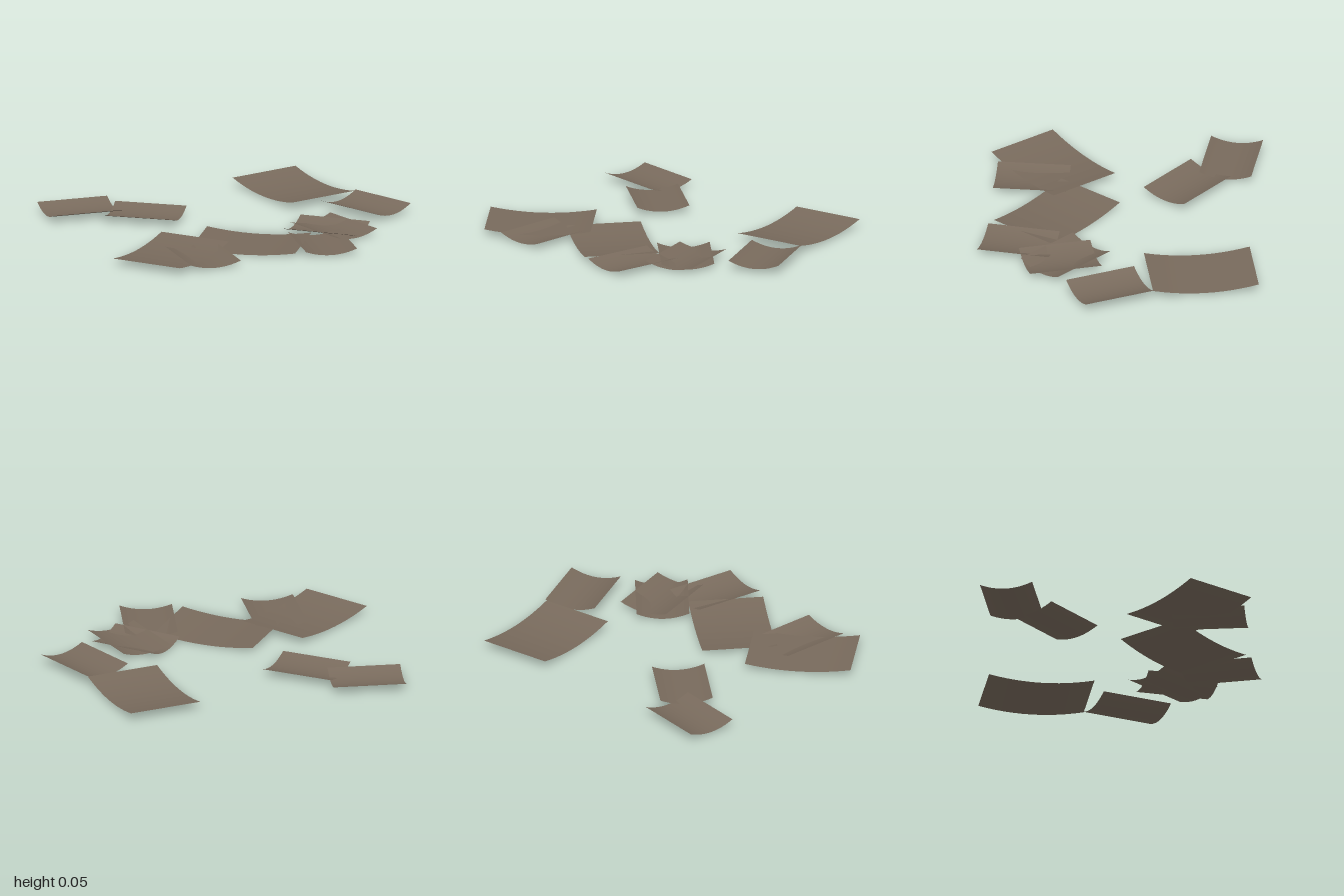
import * as THREE from 'three';

// Sheet placement: centre x, centre z, direction of the curled side (dx, dz), base height, rim rise
const SMALL = { curl: 0.298, straight: 0.414 };
const LARGE = { curl: 0.602, straight: 0.428 };
const SHEETS = [
  [SMALL, -0.61, -0.665, -0.245, 0.97, 0.012, 0.033],
  [SMALL, -0.347, -0.395, -0.707, 0.707, 0.015, 0.03],
  [SMALL, 0.79, 0.14, 0.955, -0.297, 0.02, 0.034],
  [SMALL, -0.497, 0.475, 0.983, 0.182, 0.006, 0.027],
  [SMALL, 0.212, 0.611, 0.955, 0.297, 0.007, 0.028],
  [SMALL, 0.42, 0.39, 0.99, -0.138, 0.009, 0.028],
  [SMALL, 0.395, 0.36, -0.77, 0.638, 0.003, 0.032],
  [LARGE, 0.639, -0.391, 0.038, 0.999, 0.014, 0.034],
  [LARGE, -0.63, 0.342, 0.857, -0.515, 0.013, 0.028],
  [LARGE, -0.11, 0.365, 0.72, 0.695, 0.0, 0.026],
];

// Rectangular sheet whose two opposite ends curl gently upward
function sheetGeometry({ curl, straight }, rise) {
  const geo = new THREE.PlaneGeometry(curl, straight, 12, 1);
  geo.rotateX(-Math.PI / 2);
  const pos = geo.attributes.position;
  for (let i = 0; i < pos.count; i++) {
    const t = pos.getX(i) / (curl / 2);
    pos.setY(i, rise * t * t);
  }
  geo.computeVertexNormals();
  return geo;
}

export function createModel() {
  const group = new THREE.Group();
  group.name = 'scatteredSheets';

  const brown = new THREE.MeshStandardMaterial({ color: 0x786a5c, side: THREE.DoubleSide });
  brown.name = 'dullBrown';

  SHEETS.forEach(([size, x, z, dx, dz, y, rise], i) => {
    const sheet = new THREE.Mesh(sheetGeometry(size, rise), brown);
    sheet.name = (size === LARGE ? 'largeSheet' : 'smallSheet') + (i + 1);
    sheet.position.set(x, y, z);
    sheet.rotation.y = Math.atan2(-dz, dx);
    group.add(sheet);
  });
  return group;
}
